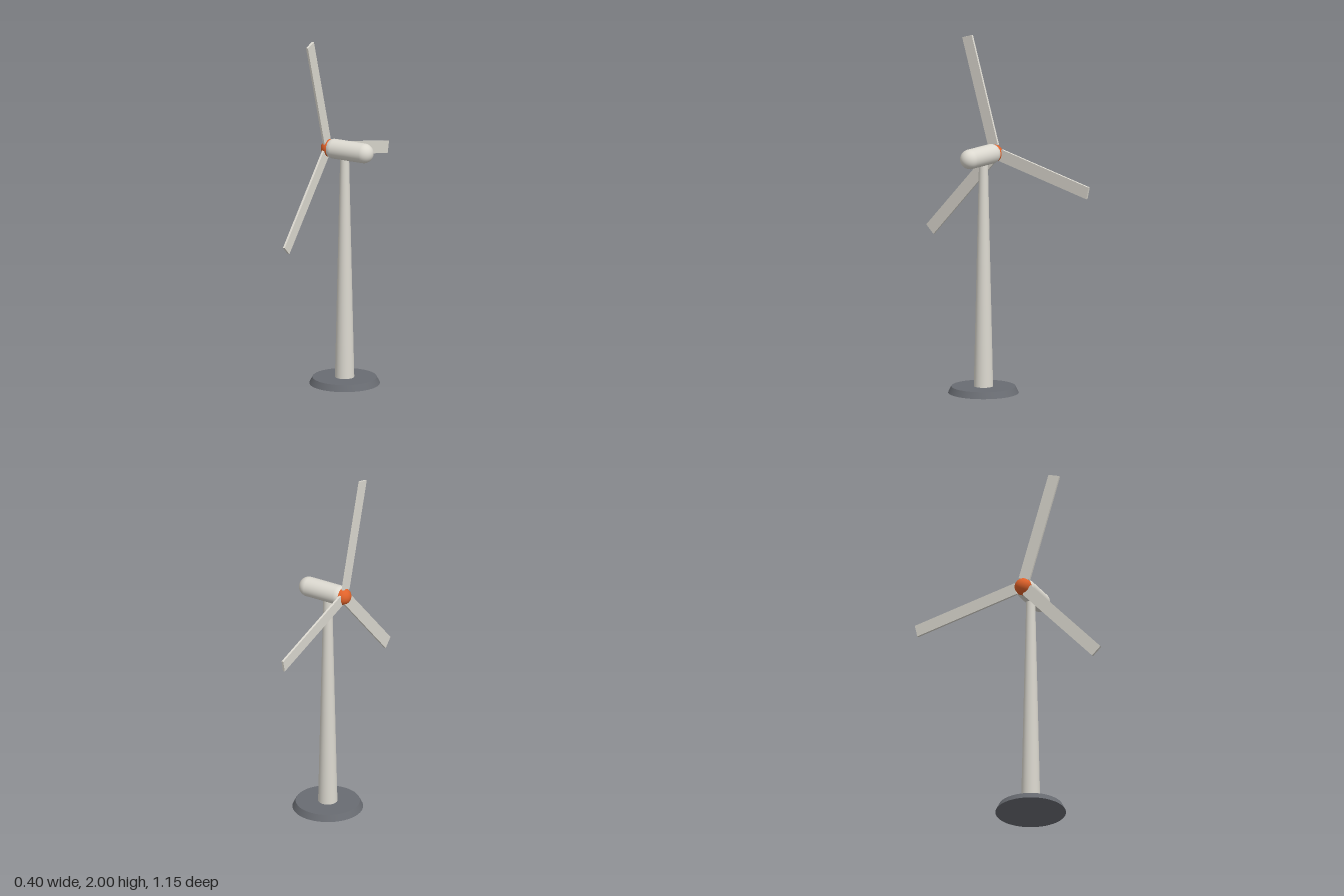
import * as THREE from 'three';

const paint = (name, color) => {
  const m = new THREE.MeshStandardMaterial({ color });
  m.name = name;
  return m;
};

export function createModel() {
  const white = paint('offWhite', 0xdcd9d0);
  const grey = paint('slateGrey', 0x696c72);
  const orange = paint('orange', 0xe0622a);

  const model = new THREE.Group();
  model.name = 'windTurbine';
  const axisZ = 0.091, hubY = 1.35;

  const add = (name, geometry, material, x, y, z, parent = model) => {
    const mesh = new THREE.Mesh(geometry, material);
    mesh.name = name;
    mesh.position.set(x, y, z);
    parent.add(mesh);
    return mesh;
  };

  // Bevelled round foundation and tapering tower
  add('foundation', new THREE.CylinderGeometry(0.18, 0.198, 0.036, 48), grey, 0, 0.018, axisZ);
  add('tower', new THREE.CylinderGeometry(0.025, 0.055, 1.319, 32), white, 0, 0.6605, axisZ);

  // Rounded nacelle lying along x
  const nacelle = new THREE.CapsuleGeometry(0.056, 0.19, 12, 32).rotateZ(Math.PI / 2);
  add('nacelle', nacelle, white, 0.029, hubY, axisZ);

  // Rotor: hub with three flat blades turning about x
  const rotor = new THREE.Group();
  rotor.name = 'rotor';
  rotor.position.set(-0.109, hubY, axisZ);
  model.add(rotor);
  add('hub', new THREE.SphereGeometry(0.049, 32, 20), orange, 0.011, 0, 0, rotor);

  const rootR = 0.04, tipR = 0.672;
  const bladeShape = new THREE.BoxGeometry(0.012, tipR - rootR, 0.07)
    .translate(0, (tipR + rootR) / 2, 0);
  for (let i = 0; i < 3; i++) {
    const blade = add('blade' + (i + 1), bladeShape, white, 0, 0, 0, rotor);
    blade.rotation.x = THREE.MathUtils.degToRad(17 + i * 120);
  }

  return model;
}
